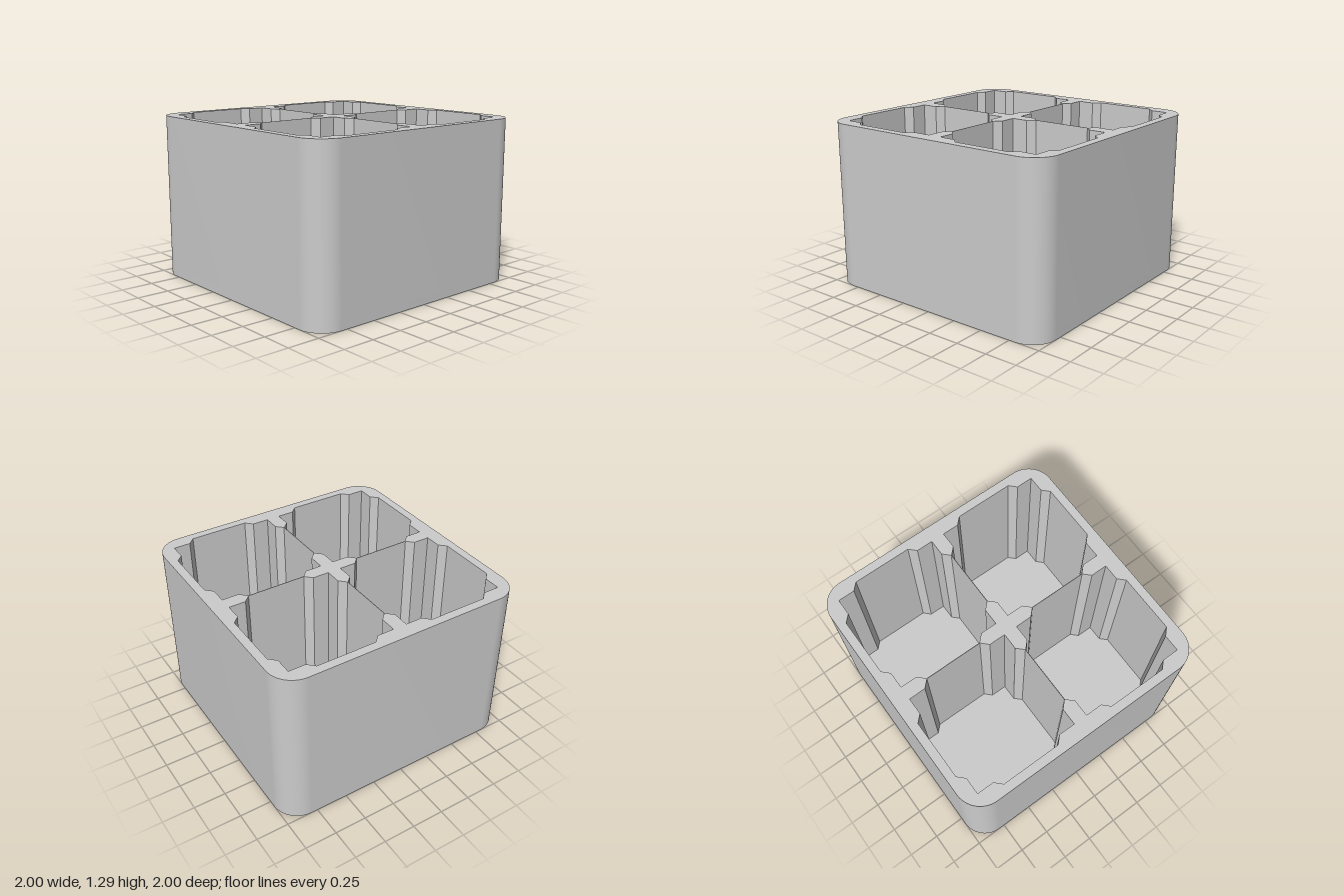
import * as THREE from 'three';
import { toCreasedNormals } from 'three/addons/utils/BufferGeometryUtils.js';

const HEIGHT = 1.294, FLOOR = 0.065, RADIUS = 0.2;
const CENTRE = 0.4675; // pocket centre offset on x and z

// Square outline with rounded corners
function roundedSquare() {
  const s = new THREE.Shape();
  const c = 1 - RADIUS;
  [[c, c], [-c, c], [-c, -c], [c, -c]].forEach(([x, y], i) =>
    s.absarc(x, y, RADIUS, i * Math.PI / 2, (i + 1) * Math.PI / 2, false));
  s.closePath();
  return s;
}

// Pocket outline: a square with stepped, chamfered corners
function pocket(cx, cy) {
  const outer = 0.4655, inner = 0.4135, step = 0.283, flat = 0.231;
  const corner = [[outer, flat], [inner, step], [inner, inner], [step, inner], [flat, outer]];
  const points = [];
  for (let q = 0; q < 4; q++) {
    const c = Math.round(Math.cos(q * Math.PI / 2)), s = Math.round(Math.sin(q * Math.PI / 2));
    for (const [x, y] of corner) points.push(new THREE.Vector2(cx + x * c - y * s, cy + x * s + y * c));
  }
  return new THREE.Path(points);
}

// Upright slab of a flat outline, with smooth rounded corners and sharp edges
function slab(name, shape, bottom, height, material) {
  let geometry = new THREE.ExtrudeGeometry(shape, { depth: height, bevelEnabled: false, curveSegments: 16 });
  geometry.rotateX(-Math.PI / 2);
  geometry.translate(0, bottom, 0);
  geometry = toCreasedNormals(geometry, Math.PI / 6);
  const mesh = new THREE.Mesh(geometry, material);
  mesh.name = name;
  return mesh;
}

export function createModel() {
  const group = new THREE.Group();
  group.name = 'dividedBox';
  const grey = new THREE.MeshStandardMaterial({ color: 0xcccccc });
  grey.name = 'light grey';

  // Outer wall and cross dividers around four pockets
  const walls = roundedSquare();
  for (const x of [-1, 1]) for (const y of [-1, 1]) walls.holes.push(pocket(x * CENTRE, y * CENTRE));
  group.add(slab('wallsAndDividers', walls, FLOOR, HEIGHT - FLOOR, grey));

  // Closed base
  group.add(slab('floor', roundedSquare(), 0, FLOOR, grey));
  return group;
}
